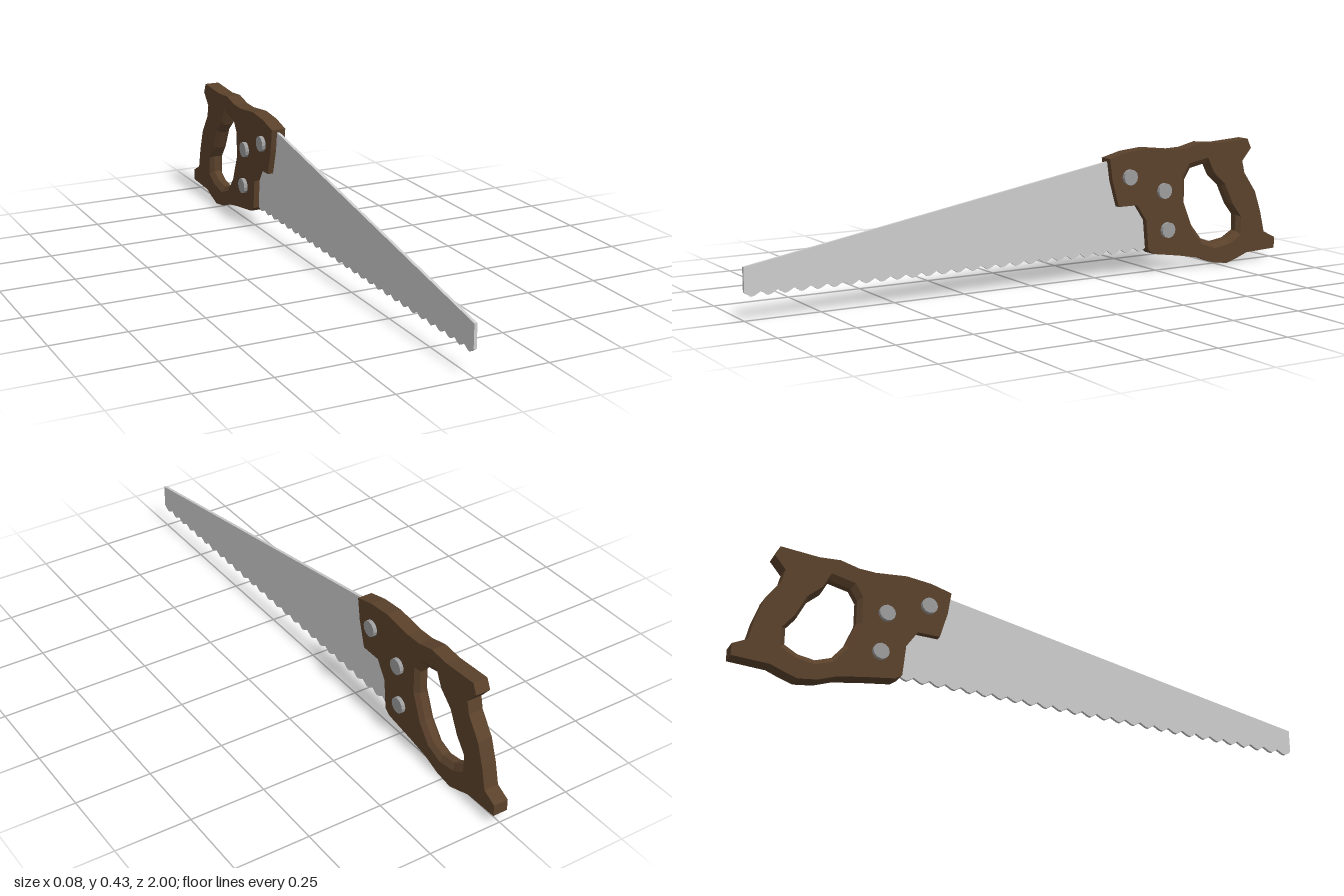
import * as THREE from 'three';

const wood = new THREE.MeshStandardMaterial({ color: 0x5a412b });
wood.name = 'dark wood';
const steel = new THREE.MeshStandardMaterial({ color: 0xcccccc });
steel.name = 'blade steel';
const boltMetal = new THREE.MeshStandardMaterial({ color: 0x9c9c9c });
boltMetal.name = 'bolt metal';

const HALF = 0.025; // half thickness of the handle
const toPoints = (list) => list.map(([z, y]) => new THREE.Vector2(z, y - 0.004));

// Extrudes a side profile given as (z, y) points, centred on x = 0
function slab(points, halfWidth, hole) {
  const shape = new THREE.Shape(points);
  if (hole) shape.holes.push(new THREE.Path(hole));
  const geo = new THREE.ExtrudeGeometry(shape, { depth: halfWidth * 2, bevelEnabled: false });
  geo.translate(0, 0, -halfWidth);
  geo.rotateY(-Math.PI / 2);
  return geo;
}

// Bevelled lining of the grip hole: rings of [x, scale] about the hole centre
function lining(points, rings) {
  const pos = [];
  const at = (i, [x, s]) => {
    const p = points[i % points.length];
    return [x, 0.218 + (p.y - 0.218) * s, -0.72 + (p.x + 0.72) * s];
  };
  for (let r = 0; r < rings.length - 1; r++) {
    for (let i = 0; i < points.length; i++) {
      const a = at(i, rings[r]), b = at(i + 1, rings[r]);
      const c = at(i + 1, rings[r + 1]), d = at(i, rings[r + 1]);
      pos.push(...a, ...b, ...c, ...a, ...c, ...d);
    }
  }
  const geo = new THREE.BufferGeometry();
  geo.setAttribute('position', new THREE.Float32BufferAttribute(pos, 3));
  geo.computeVertexNormals();
  return geo;
}

export function createModel() {
  const group = new THREE.Group();
  group.name = 'handSaw';
  const add = (name, geo, material) => {
    const mesh = new THREE.Mesh(geo, material);
    mesh.name = name;
    group.add(mesh);
    return mesh;
  };

  // Handle
  const outline = toPoints([
    [-0.293, 0.405], [-0.363, 0.423], [-0.448, 0.431], [-0.555, 0.419], [-0.61, 0.421],
    [-0.673, 0.436], [-0.743, 0.43], [-0.871, 0.438], [-0.887, 0.404], [-0.85, 0.361],
    [-0.86, 0.319], [-0.909, 0.249], [-0.935, 0.174], [-0.952, 0.102], [-1, 0.078],
    [-1, 0.039], [-0.877, 0.034], [-0.834, 0.018], [-0.79, 0.004], [-0.727, 0.013],
    [-0.668, 0.035], [-0.582, 0.051], [-0.475, 0.067], [-0.453, 0.083], [-0.443, 0.185],
    [-0.405, 0.241], [-0.33, 0.241], [-0.304, 0.33],
  ]);
  const hole = toPoints([
    [-0.593, 0.324], [-0.62, 0.367], [-0.7, 0.383], [-0.727, 0.329], [-0.775, 0.286],
    [-0.812, 0.211], [-0.85, 0.163], [-0.85, 0.099], [-0.802, 0.072], [-0.737, 0.062],
    [-0.678, 0.083], [-0.63, 0.142], [-0.593, 0.233],
  ]);
  add('handle', slab(outline, HALF, hole), wood);
  add('gripHoleLining', lining(hole, [[-HALF, 1], [-0.012, 0.88], [0.012, 0.88], [HALF, 1]]), wood);

  // Blade with a toothed lower edge
  const teeth = 27, start = 1, end = -0.46, pitch = (start - end) / teeth;
  const blade = [new THREE.Vector2(-0.46, 0.39), new THREE.Vector2(-0.293, 0.39), new THREE.Vector2(1, 0.165)];
  for (let i = 0; i < teeth; i++) {
    const z = start - i * pitch;
    blade.push(new THREE.Vector2(z, 0.087), new THREE.Vector2(z - pitch * 0.4, 0.073),
      new THREE.Vector2(z - pitch * 0.6, 0.075));
  }
  blade.push(new THREE.Vector2(end, 0.087));
  add('blade', slab(blade, 0.005), steel);

  // Bolts passing through the handle
  [[0.335, -0.371], [0.278, -0.513], [0.142, -0.529]].forEach(([y, z], i) => {
    const geo = new THREE.CylinderGeometry(0.027, 0.027, 0.076, 12).toNonIndexed();
    geo.rotateZ(Math.PI / 2);
    geo.computeVertexNormals();
    add('bolt' + (i + 1), geo, boltMetal).position.set(0, y, z);
  });

  return group;
}
